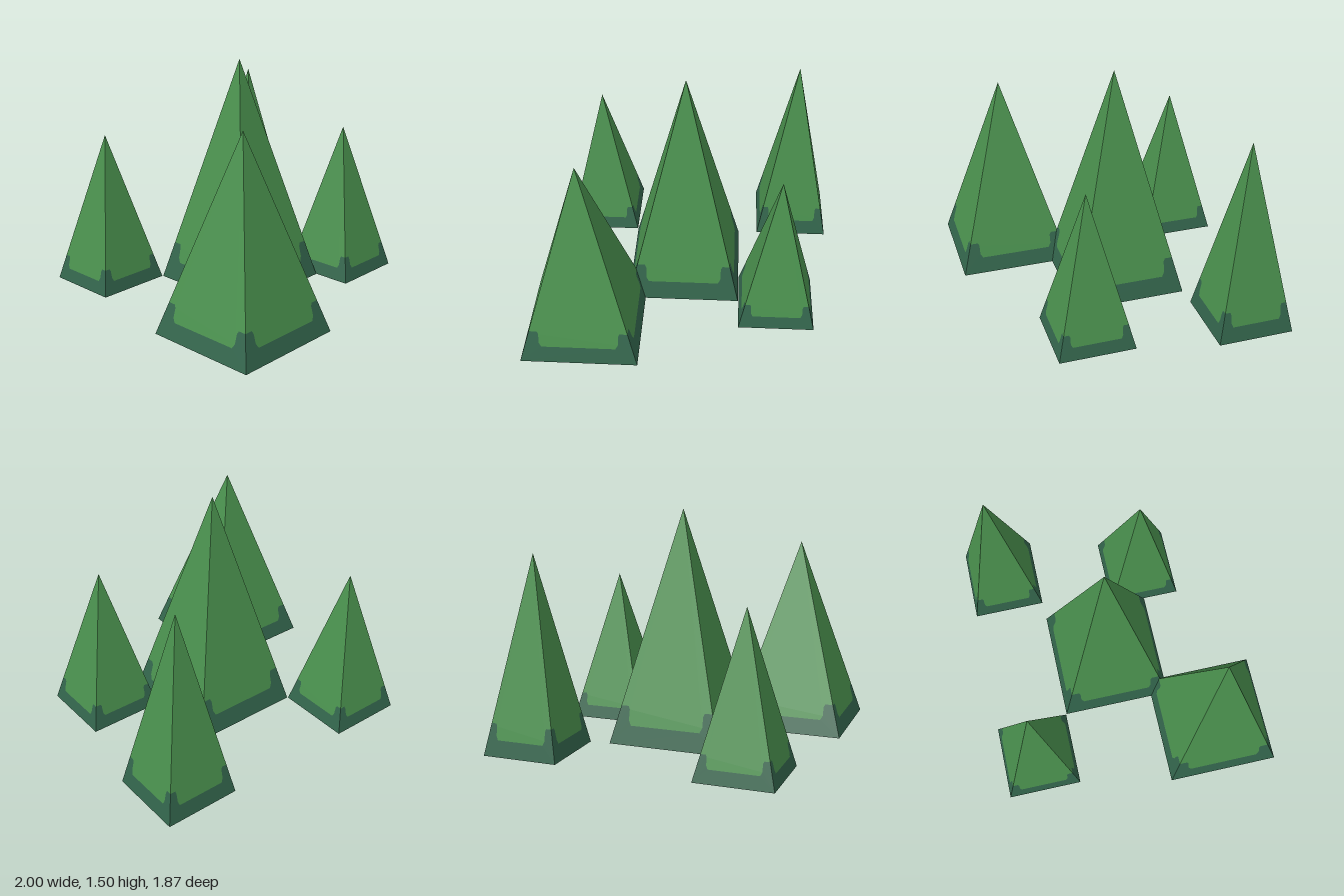
import * as THREE from 'three';

const foliage = new THREE.MeshStandardMaterial({ color: 0x4a914e, side: THREE.DoubleSide });
foliage.name = 'leaf green';
const skirt = new THREE.MeshStandardMaterial({ color: 0x33654c, side: THREE.DoubleSide });
skirt.name = 'deep green';

// Border between skirt and foliage on one face, in (u, v) of the triangle (0,0) (1,0) (0.5,1)
const half = [[0.082, 0.164], [0.15, 0.164], [0.163, 0.15], [0.163, 0.105], [0.185, 0.083]];
const border = [...half, ...half.map(([u, v]) => [1 - u, v]).reverse()];
const toShape = (pts) => new THREE.Shape(pts.map(([u, v]) => new THREE.Vector2(u, v)));
const foliageShape = toShape([...border, [0.5, 1]]);
const skirtShape = toShape([[0, 0], [1, 0], ...[...border].reverse()]);

// Lays a flat face shape onto the sloping side of a pyramid
function sideGeometry(shape, width, height) {
  const geometry = new THREE.ShapeGeometry(shape);
  const pos = geometry.attributes.position;
  for (let i = 0; i < pos.count; i++) {
    const u = pos.getX(i), v = pos.getY(i);
    pos.setXYZ(i, (u - 0.5) * width, v * height, (1 - v) * width / 2);
  }
  geometry.computeVertexNormals();
  return geometry;
}

// Hollow four-sided tree, open underneath
function makeTree(name, x, z, width, height) {
  const tree = new THREE.Group();
  tree.name = name;
  tree.position.set(x, 0, z);
  const parts = [
    ['foliage', sideGeometry(foliageShape, width, height), foliage],
    ['skirt', sideGeometry(skirtShape, width, height), skirt],
  ];
  for (let side = 0; side < 4; side++) {
    for (const [part, geometry, material] of parts) {
      const mesh = new THREE.Mesh(geometry, material);
      mesh.name = `${part}${side + 1}`;
      mesh.rotation.y = side * Math.PI / 2;
      tree.add(mesh);
    }
  }
  return tree;
}

export function createModel() {
  const group = new THREE.Group();
  group.name = 'treeCluster';
  group.add(
    makeTree('centreTree', 0, -0.065, 0.744, 1.5),
    makeTree('frontRightTree', -0.628, 0.558, 0.744, 1.25),
    makeTree('frontLeftTree', 0.624, 0.31, 0.496, 1.0),
    makeTree('backLeftTree', 0.752, -0.69, 0.496, 1.25),
    makeTree('backRightTree', -0.624, -0.69, 0.496, 1.0),
  );
  return group;
}
